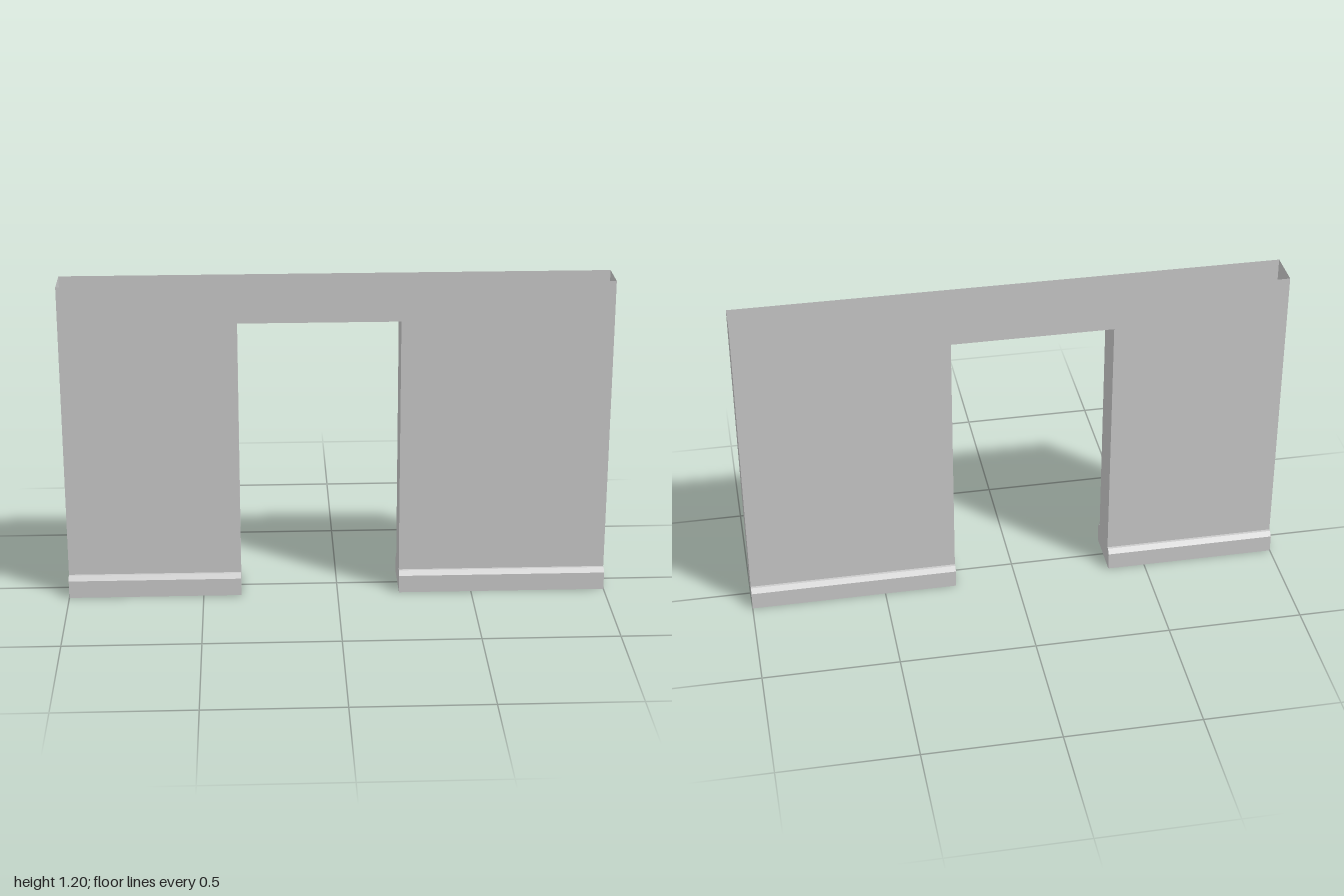
import * as THREE from 'three';

const H = 1.197, DOOR_TOP = 1.055, LEFT = -0.36, RIGHT = 0.23, HALF = 0.07;
// Skirting profile as [z, y], from the floor up to the wall face
const SKIRT = [[0.095, 0], [0.095, 0.067], [0.08, 0.083], [HALF, 0.083]];

const material = new THREE.MeshStandardMaterial({ color: 0xcccccc, side: THREE.DoubleSide, flatShading: true });

function add(group, name, geometry) {
  const mesh = new THREE.Mesh(geometry, material);
  mesh.name = name;
  group.add(mesh);
  return mesh;
}

const flat = (points) => new THREE.ShapeGeometry(new THREE.Shape(points.map(([x, y]) => new THREE.Vector2(x, y))));

// Sweeps the skirting profile along x as an open surface
function skirting(x0, x1) {
  const pos = [];
  for (let i = 0; i < SKIRT.length - 1; i++) {
    const [z0, y0] = SKIRT[i], [z1, y1] = SKIRT[i + 1];
    pos.push(x0, y0, z0, x1, y0, z0, x1, y1, z1);
    pos.push(x0, y0, z0, x1, y1, z1, x0, y1, z1);
  }
  const g = new THREE.BufferGeometry();
  g.setAttribute('position', new THREE.Float32BufferAttribute(pos, 3));
  g.computeVertexNormals();
  return g;
}

// Upright end panel with the wall and skirting outline, facing +x or -x
function endPanel(x, top, facing) {
  const half = [...SKIRT, [HALF, top]];
  const outline = [...half, ...half.map(([z, y]) => [-z, y]).reverse()];
  return flat(outline).rotateY(facing * Math.PI / 2).translate(x, 0, 0);
}

export function createModel() {
  const group = new THREE.Group();
  group.name = 'doorwayWall';
  const base = SKIRT[3][1];

  // Front and back faces with skirtings; the shell is open above and below
  for (const [side, turn, l, r] of [['front', 0, LEFT, RIGHT], ['back', Math.PI, -RIGHT, -LEFT]]) {
    const face = new THREE.Group();
    face.name = side + 'Side';
    face.rotation.y = turn;
    add(face, side + 'Wall', flat([
      [-1, base], [l, base], [l, DOOR_TOP], [r, DOOR_TOP], [r, base], [1, base], [1, H], [-1, H],
    ])).position.z = HALF;
    add(face, side + 'Skirting', skirting(-1, l));
    add(face, side + 'Skirting', skirting(r, 1));
    group.add(face);
  }

  // Outer ends and door jambs
  add(group, 'rightEnd', endPanel(-1, H, -1));
  add(group, 'leftEnd', endPanel(1, H, 1));
  add(group, 'rightJamb', endPanel(LEFT, DOOR_TOP, 1));
  add(group, 'leftJamb', endPanel(RIGHT, DOOR_TOP, -1));

  // Underside of the lintel
  add(group, 'lintelSoffit', new THREE.PlaneGeometry(RIGHT - LEFT, 2 * HALF).rotateX(Math.PI / 2))
    .position.set((LEFT + RIGHT) / 2, DOOR_TOP, 0);

  return group;
}
